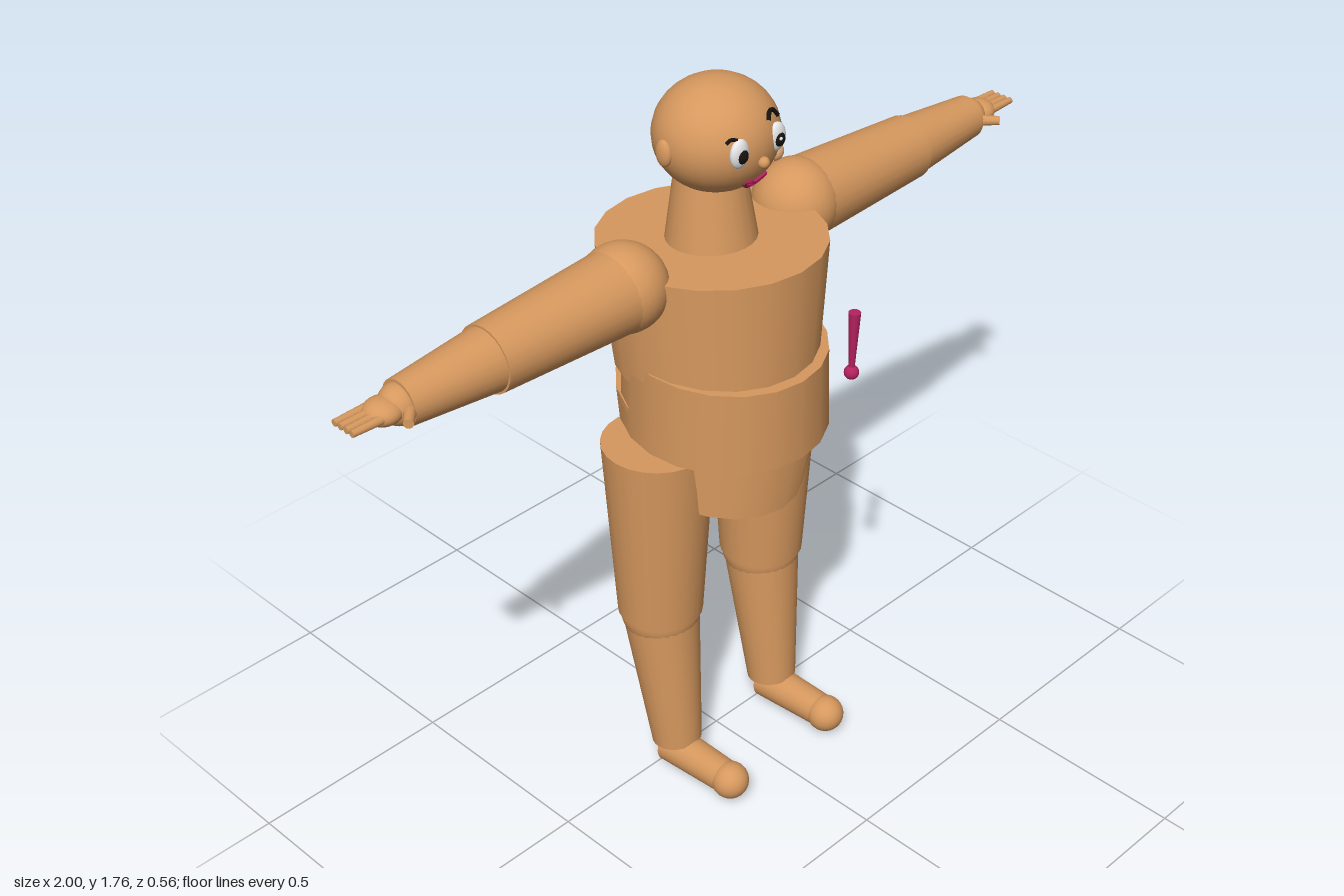
import * as THREE from 'three';

const mat = (name, color) => {
  const m = new THREE.MeshStandardMaterial({ color });
  m.name = name;
  return m;
};
const V = (x, y, z) => new THREE.Vector3(x, y, z);

export function createModel() {
  const model = new THREE.Group();
  model.name = 'figure';
  const skin = mat('skin', 0xd6985e);
  const white = mat('eyeWhite', 0xf2f2f2);
  const black = mat('black', 0x15120f);
  const magenta = mat('magenta', 0xb5215f);
  const peach = mat('peach', 0xe6ae78);

  const add = (name, geo, material = skin) => {
    const mesh = new THREE.Mesh(geo, material);
    mesh.name = name;
    model.add(mesh);
    return mesh;
  };

  // Ellipsoid at a point
  const ball = (name, p, rx, ry = rx, rz = rx, material = skin) => {
    const mesh = add(name, new THREE.SphereGeometry(1, 32, 20), material);
    mesh.position.copy(p);
    mesh.scale.set(rx, ry, rz);
    return mesh;
  };

  // Capped tapered cylinder between two points
  const limb = (name, a, b, ra, rb, material = skin, sides = 24) => {
    const dir = b.clone().sub(a);
    const mesh = add(name, new THREE.CylinderGeometry(rb, ra, dir.length(), sides), material);
    mesh.position.copy(a).addScaledVector(dir, 0.5);
    mesh.quaternion.setFromUnitVectors(V(0, 1, 0), dir.normalize());
    return mesh;
  };

  // Oval torso drum; each end is { y, z, rx, rz, slope }, slope tips the end along z
  const drum = (name, top, bottom) => {
    const geo = new THREE.CylinderGeometry(1, 1, 1, 20);
    const p = geo.attributes.position;
    for (let i = 0; i < p.count; i++) {
      const e = p.getY(i) > 0 ? top : bottom;
      const dz = p.getZ(i) * e.rz;
      p.setXYZ(i, p.getX(i) * e.rx, e.y + dz * e.slope, e.z + dz);
    }
    return add(name, geo);
  };

  // Torso
  drum('chest',
    { y: 1.387, z: -0.015, rx: 0.247, rz: 0.265, slope: 0.05 },
    { y: 1.09, z: 0, rx: 0.222, rz: 0.236, slope: 0.08 });
  drum('abdomen',
    { y: 1.145, z: 0.026, rx: 0.227, rz: 0.236, slope: -0.05 },
    { y: 0.945, z: 0.026, rx: 0.235, rz: 0.238, slope: -0.05 });
  drum('pelvis',
    { y: 1.01, z: 0.008, rx: 0.225, rz: 0.243, slope: -0.09 },
    { y: 0.79, z: -0.012, rx: 0.188, rz: 0.223, slope: -0.09 });

  // Neck and head
  limb('neck', V(0, 1.36, -0.014), V(0, 1.57, -0.02), 0.106, 0.074);
  const head = { y: 1.64, rx: 0.14, ry: 0.125, rz: 0.136 };
  ball('head', V(0, head.y, 0), head.rx, head.ry, head.rz);

  // Point on the front of the head, raised by lift
  const onFace = (x, y, lift = 0) => {
    const k = 1 - (x / head.rx) ** 2 - ((y - head.y) / head.ry) ** 2;
    return V(x, y, head.rz * Math.sqrt(Math.max(k, 0)) + lift);
  };
  const faceLine = (name, pts, r, material) => {
    const curve = new THREE.CatmullRomCurve3(pts.map(([x, y]) => onFace(x, y, 0.003)));
    add(name, new THREE.TubeGeometry(curve, 16, r, 8), material);
  };

  // Eyes, with pupils and a small glint
  for (const s of [-1, 1]) {
    const side = s > 0 ? 'left' : 'right';
    const x = 0.055 * s;
    ball(side + 'Eye', onFace(x, 1.651, -0.004), 0.025, 0.033, 0.014, white);
    ball(side + 'Pupil', onFace(x, 1.648, 0.006), 0.014, 0.016, 0.009, black);
    ball(side + 'Glint', onFace(x - 0.005, 1.654, 0.013), 0.004, 0.004, 0.003, white);
    ball(side + 'Ear', V(0.14 * s, 1.635, -0.014), 0.013, 0.031, 0.021);
  }
  faceLine('leftBrow', [[0.03, 1.695], [0.045, 1.707], [0.062, 1.704], [0.075, 1.688]], 0.005, black);
  faceLine('rightBrow', [[-0.08, 1.677], [-0.07, 1.684], [-0.058, 1.682]], 0.004, black);

  // Nose, cheek and lips
  ball('nose', onFace(0, 1.617, 0.004), 0.013);
  ball('cheek', onFace(0.077, 1.6, -0.006), 0.02, 0.02, 0.016, peach);
  faceLine('upperLip', [[-0.033, 1.573], [-0.013, 1.568], [0, 1.562], [0.013, 1.568], [0.033, 1.573]], 0.004, magenta);
  faceLine('lowerLip', [[-0.033, 1.573], [-0.018, 1.557], [0, 1.551], [0.018, 1.557], [0.033, 1.573]], 0.005, magenta);

  // Arms and legs, mirrored
  for (const s of [-1, 1]) {
    const side = s > 0 ? 'left' : 'right';
    const P = (x, y, z) => V(x * s, y, z);
    const az = -0.014;

    ball(side + 'Shoulder', P(0.265, 1.367, az), 0.1);
    limb(side + 'UpperArm', P(0.265, 1.366, az), P(0.645, 1.36, az), 0.096, 0.077);
    ball(side + 'Elbow', P(0.645, 1.36, az), 0.071);
    limb(side + 'Forearm', P(0.645, 1.36, az), P(0.865, 1.36, az), 0.072, 0.052);
    ball(side + 'Wrist', P(0.865, 1.36, az), 0.045);
    ball(side + 'Palm', P(0.905, 1.362, az), 0.042, 0.028, 0.042);
    for (let i = 0; i < 4; i++) {
      const z = -0.043 + i * 0.018;
      limb(side + 'Finger' + (i + 1), P(0.91, 1.364, z), P(1, 1.364, z - 0.001), 0.011, 0.008, skin, 10);
    }
    limb(side + 'Thumb', P(0.86, 1.362, 0.015), P(0.9, 1.362, 0.058), 0.014, 0.011, skin, 10);

    limb(side + 'Thigh', P(0.17, 0.46, -0.016), P(0.17, 0.93, -0.016), 0.1, 0.129);
    ball(side + 'Knee', P(0.17, 0.46, -0.016), 0.095);
    limb(side + 'Shin', P(0.166, 0.082, 0.03), P(0.17, 0.46, -0.016), 0.06, 0.092);
    limb(side + 'Foot', P(0.168, 0.049, 0.012), P(0.168, 0.056, 0.215), 0.047, 0.04);
    ball(side + 'Toe', P(0.168, 0.055, 0.212), 0.045);
  }

  // Small wand floating before the chest
  limb('wandRod', V(0.155, 1.09, 0.265), V(0.155, 1.243, 0.268), 0.006, 0.014, magenta, 16);
  ball('wandTip', V(0.155, 1.088, 0.265), 0.017, 0.017, 0.017, magenta);

  return model;
}
